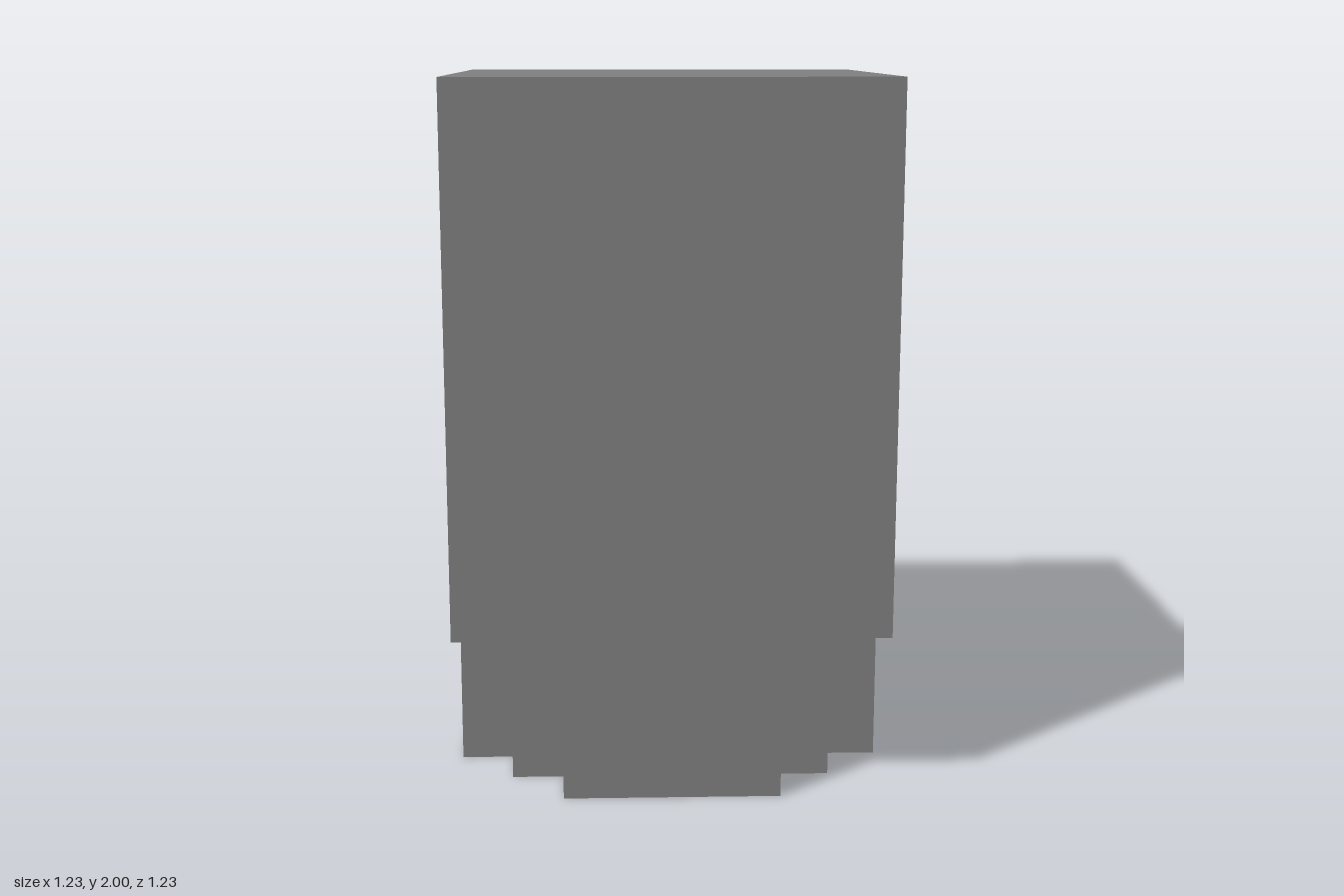
import * as THREE from 'three';

const HALF = 0.6125;   // half width of the block
const MID = 0.457;     // inner step of the corner notches
const ARM = 0.306;     // half width of the base arms
const BASE_H = 0.465;
const TOTAL_H = 2;

export function createModel() {
  const group = new THREE.Group();
  group.name = 'steppedPillar';
  const gray = new THREE.MeshStandardMaterial({ color: 0x808080 });
  gray.name = 'gray';

  // Upper block
  const bodyH = TOTAL_H - BASE_H;
  const body = new THREE.Mesh(new THREE.BoxGeometry(HALF * 2, bodyH, HALF * 2), gray);
  body.name = 'upperBlock';
  body.position.y = BASE_H + bodyH / 2;
  group.add(body);

  // Base with a stepped notch in each corner: one quarter outline turned four times
  const quarter = [[HALF, ARM], [MID, ARM], [MID, MID], [ARM, MID], [ARM, HALF]];
  const outline = [];
  for (let i = 0; i < 4; i++) {
    for (const [x, y] of quarter) {
      outline.push(new THREE.Vector2(x, y).rotateAround(new THREE.Vector2(), i * Math.PI / 2));
    }
  }
  const baseGeometry = new THREE.ExtrudeGeometry(new THREE.Shape(outline), {
    depth: BASE_H, bevelEnabled: false,
  });
  baseGeometry.rotateX(-Math.PI / 2);
  const base = new THREE.Mesh(baseGeometry, gray);
  base.name = 'steppedBase';
  group.add(base);

  return group;
}
